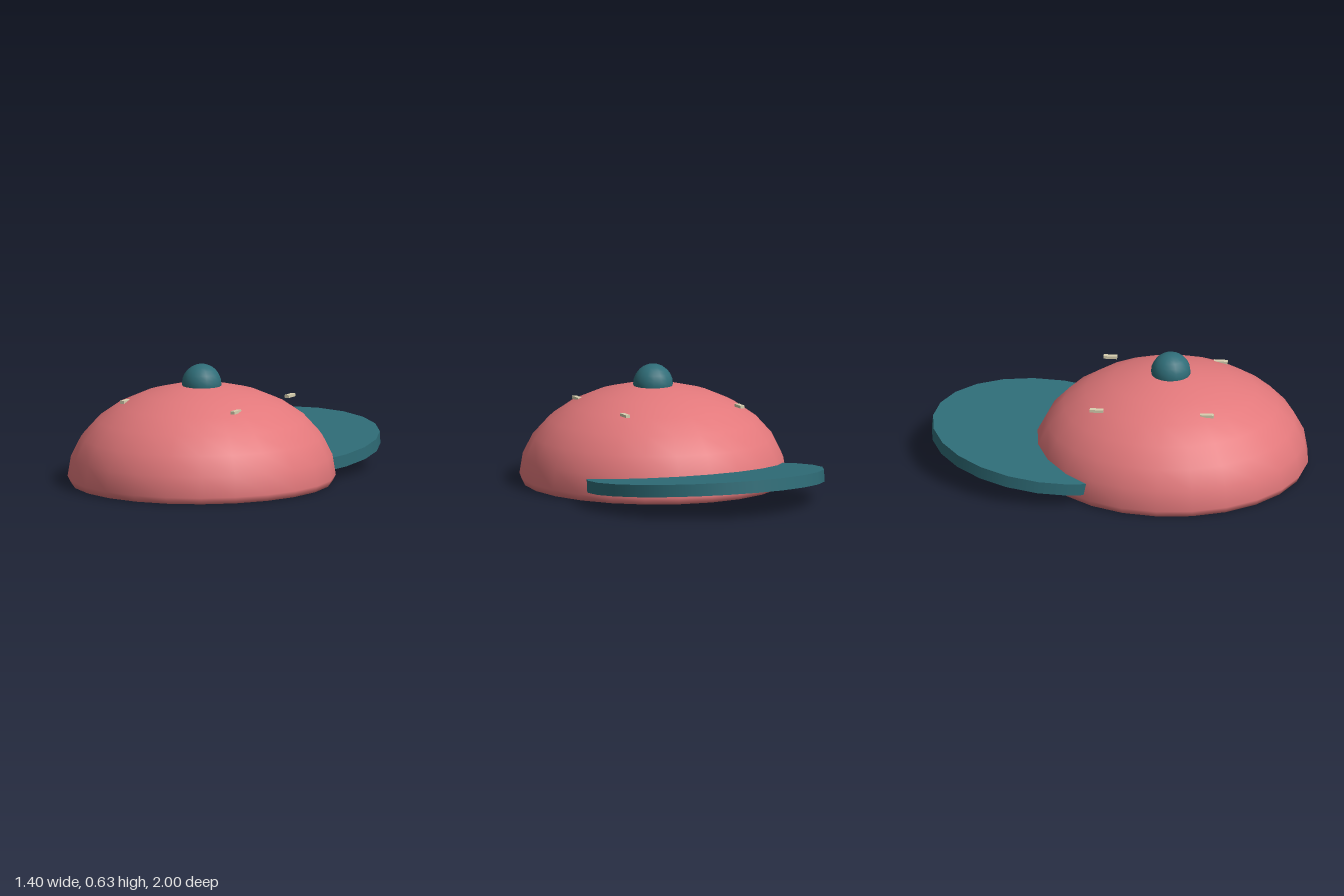
import * as THREE from 'three';
import { mergeVertices } from 'three/addons/utils/BufferGeometryUtils.js';

const CROWN = { x: 0.7, y: 0.488, z: 0.728, centerY: 0.035, centerZ: 0.267 };

const material = (name, color) => {
  const m = new THREE.MeshStandardMaterial({ color });
  m.name = name;
  return m;
};

// Ellipsoid whose lower half is pressed flat onto the ground
function crownGeometry() {
  let geo = new THREE.SphereGeometry(1, 24, 14);
  geo.scale(CROWN.x, CROWN.y, CROWN.z);
  geo.translate(0, CROWN.centerY, CROWN.centerZ);
  const pos = geo.attributes.position;
  for (let i = 0; i < pos.count; i++) pos.setY(i, Math.max(0, pos.getY(i)));
  geo.deleteAttribute('uv');
  geo.deleteAttribute('normal');
  geo = mergeVertices(geo, 1e-5);
  geo.computeVertexNormals();
  return geo;
}

export function createModel() {
  const cap = new THREE.Group();
  cap.name = 'cap';
  const coral = material('coral cloth', 0xe2787b);
  const teal = material('teal cloth', 0x2f6d78);
  const cream = material('cream stitching', 0xd8d0b0);

  const add = (name, geometry, mat, x, y, z) => {
    const mesh = new THREE.Mesh(geometry, mat);
    mesh.name = name;
    mesh.position.set(x, y, z);
    cap.add(mesh);
    return mesh;
  };

  add('crown', crownGeometry(), coral, 0, 0, 0);
  add('topButton', new THREE.SphereGeometry(0.105, 16, 12), teal, 0, 0.525, CROWN.centerZ);

  // Round brim, tilted up toward its free end and tucked inside the crown
  const brim = add('brim', new THREE.CylinderGeometry(0.63, 0.63, 0.065, 24), teal, 0, 0.11, -0.37);
  brim.rotation.x = 0.1;

  // Four small eyelet bars around the button
  const eyelet = new THREE.BoxGeometry(0.025, 0.015, 0.072);
  for (const x of [-0.334, 0.334]) {
    for (const z of [-0.09, 0.495]) add('eyelet', eyelet, cream, x, 0.435, z);
  }
  return cap;
}
